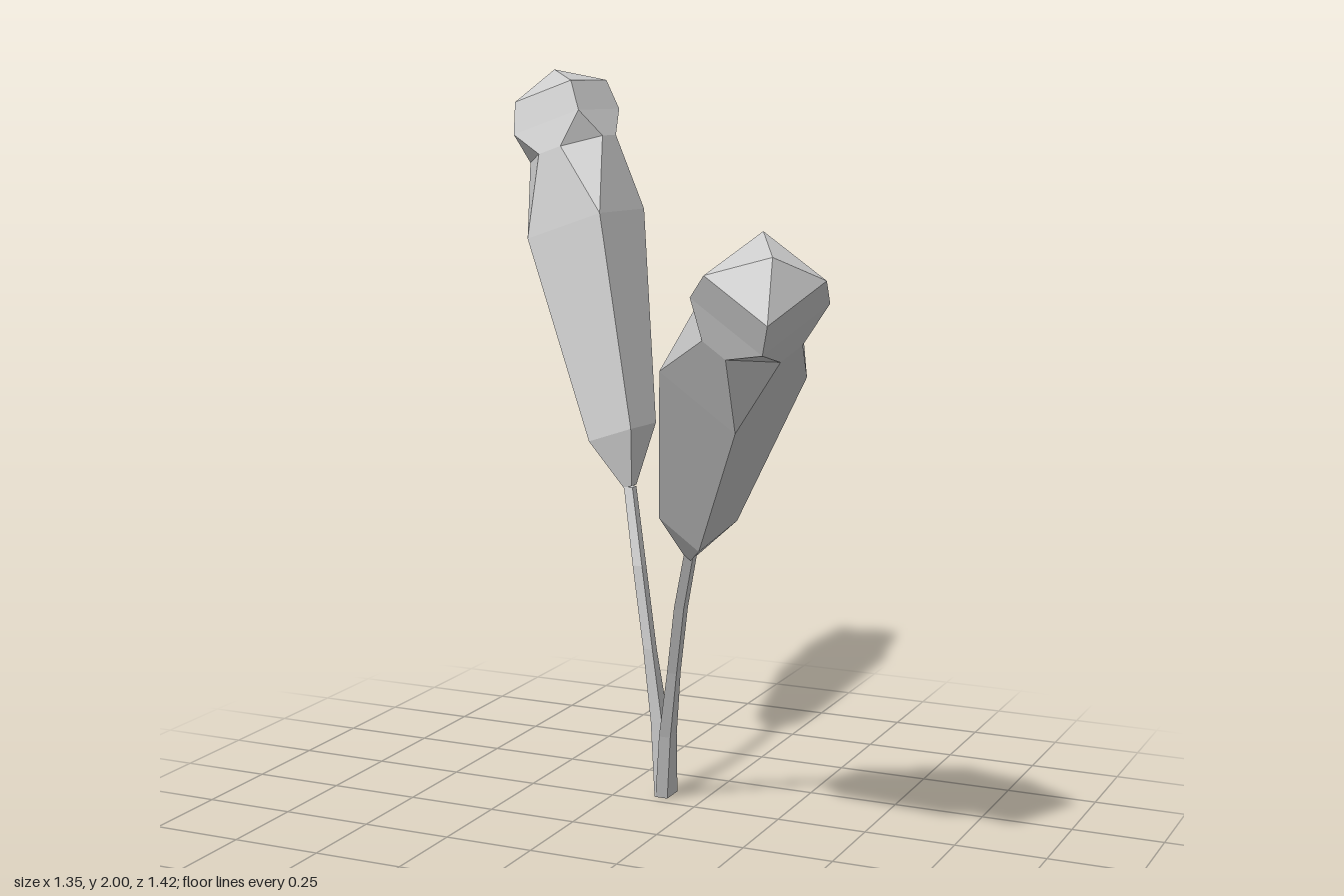
import * as THREE from 'three';

const material = new THREE.MeshStandardMaterial({ color: 0xcccccc, flatShading: true });

// Eight points of a square ring [x, y, z, halfU, halfV, chamfer]; chamfer 0 gives four sharp corners.
function ringPoints([x, y, z, hu, hv, chamfer = 0], u, v) {
  const iu = hu - chamfer, iv = hv - chamfer;
  return [[hu, iv], [hu, -iv], [iu, -hv], [-iu, -hv], [-hu, -iv], [-hu, iv], [-iu, hv], [iu, hv]]
    .map(([a, b]) => new THREE.Vector3(x, y, z).addScaledVector(u, a).addScaledVector(v, b));
}

// Skin a row of rings, dropping the empty triangles at sharp corners and tips.
function loft(name, rings, u, v) {
  const loops = rings.map((r) => ringPoints(r, u, v));
  const positions = [];
  const tri = new THREE.Triangle();
  const addTriangle = (a, b, c) => {
    if (tri.set(a, b, c).getArea() < 1e-7) return;
    for (const p of [a, b, c]) positions.push(p.x, p.y, p.z);
  };
  for (let i = 0; i + 1 < loops.length; i++) {
    for (let j = 0; j < 8; j++) {
      const k = (j + 1) % 8;
      addTriangle(loops[i][j], loops[i][k], loops[i + 1][k]);
      addTriangle(loops[i][j], loops[i + 1][k], loops[i + 1][j]);
    }
  }
  const geometry = new THREE.BufferGeometry();
  geometry.setAttribute('position', new THREE.Float32BufferAttribute(positions, 3));
  geometry.computeVertexNormals();
  const mesh = new THREE.Mesh(geometry, material);
  mesh.name = name;
  return mesh;
}

// A curved stem carrying a bud: slim body, notched neck and blunt head.
function createStalk(name, { stem, bud, u, v }) {
  const group = new THREE.Group();
  group.name = name;

  // Stem, thick at the ground and thin at the bud
  const halfU = [0.018, 0.017, 0.014, 0.014, 0.013];
  const halfV = [0.035, 0.022, 0.014, 0.014, 0.013];
  const stemRings = stem.map((p, i) => [...p, halfU[i], halfV[i]]);
  const capped = [[...stem[0], 0, 0], ...stemRings, [...stem[4], 0, 0]];
  group.add(loft('stem', capped, new THREE.Vector3(1, 0, 0), new THREE.Vector3(0, 0, 1)));

  // Bud: base, shoulder, widest part, neck, head bottom, head top, tip
  const half = [0.013, 0.07, 0.123, 0.125, 0.112, 0.097, 0];
  const budRings = bud.map((p, i) => [...p, half[i], half[i], i === 3 ? 0.088 : 0]);
  const closed = [[...bud[0], 0, 0], ...budRings];
  group.add(loft('bud', closed, new THREE.Vector3(...u), new THREE.Vector3(...v)));
  return group;
}

export function createModel() {
  const model = new THREE.Group();
  model.name = 'budStalks';

  model.add(createStalk('tallStalk', {
    stem: [[-0.118, 0, -0.32], [-0.125, 0.22, -0.295], [-0.148, 0.43, -0.28],
      [-0.185, 0.66, -0.292], [-0.232, 0.87, -0.333]],
    bud: [[-0.232, 0.87, -0.333], [-0.27, 1.015, -0.365], [-0.45, 1.575, -0.51],
      [-0.515, 1.78, -0.56], [-0.545, 1.855, -0.582], [-0.572, 1.94, -0.6], [-0.595, 2, -0.606]],
    u: [0.95, 0.33, 0.08],
    v: [-0.09, 0.02, 0.99],
  }));

  model.add(createStalk('shortStalk', {
    stem: [[-0.115, 0, -0.32], [-0.075, 0.2, -0.24], [-0.015, 0.41, -0.145],
      [0.05, 0.62, -0.045], [0.113, 0.785, 0.038]],
    bud: [[0.113, 0.785, 0.038], [0.162, 0.895, 0.102], [0.378, 1.32, 0.394],
      [0.475, 1.465, 0.52], [0.515, 1.52, 0.568], [0.55, 1.578, 0.625], [0.585, 1.63, 0.67]],
    u: [0.84, -0.53, 0.12],
    v: [-0.42, -0.46, 0.78],
  }));

  return model;
}
